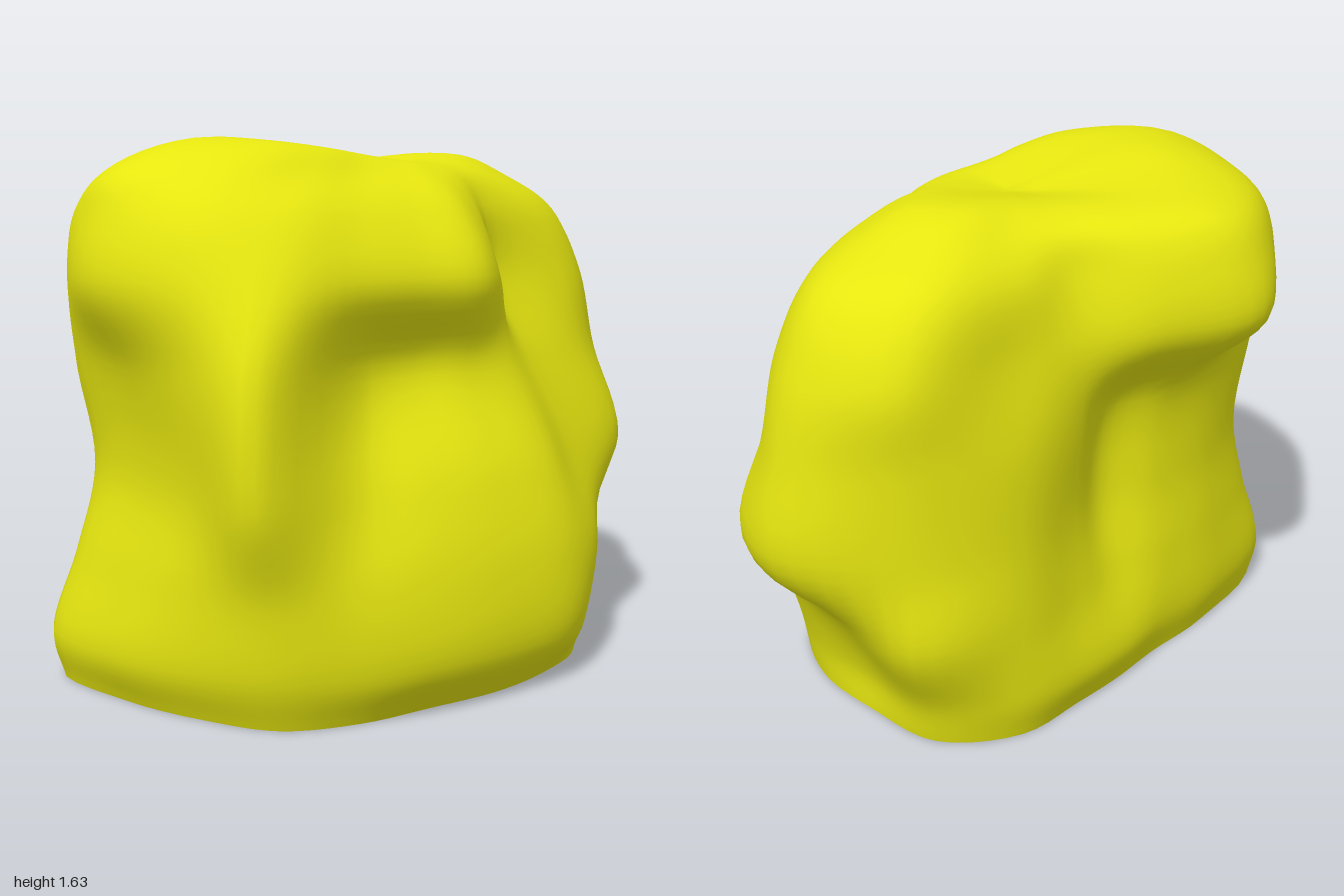
import * as THREE from 'three';

// Directions of the ribs in degrees, from +x round through +z (front)
const ANGLES = [0, 22.5, 45, 67.5, 90, 112.5, 130, 145, 160, 180, 202.5, 225, 247.5, 270, 292.5, 315, 337.5];
// Cross-sections from bottom to top: height, then one radius per rib
const SECTIONS = [
  [0.01, [.65, .67, .68, .63, .62, .65, .75, .84, .85, .89, .97, .66, .50, .47, .50, .62, .69]],
  [0.15, [.66, .69, .71, .73, .71, .75, .82, .90, .91, .95, 1.0, .71, .54, .51, .55, .66, .73]],
  [0.40, [.78, .77, .75, .73, .70, .74, .82, .94, .92, .91, .92, .69, .52, .44, .50, .67, .86]],
  [0.66, [1.0, .90, .66, .65, .62, .65, .73, 1.03, .91, .85, .86, .66, .49, .38, .46, .65, .85]],
  [0.98, [.97, .78, .52, .50, .48, .48, .58, 1.01, .95, .89, .91, .69, .53, .41, .48, .63, .85]],
  [1.22, [.91, .72, .40, .47, .56, .59, .69, .90, .97, 1.0, .92, .82, .79, .60, .50, .57, .86]],
  [1.42, [.80, .61, .38, .39, .45, .48, .57, .74, .89, .96, .90, .81, .75, .57, .45, .53, .76]],
  [1.53, [.60, .45, .32, .30, .31, .33, .39, .54, .75, .90, .81, .74, .67, .49, .40, .43, .59]],
];
const CROWN = new THREE.Vector3(0, 1.55, 0);
const AROUND = 85, UP = 60;

// One smooth rib per direction, running from the base over the rim to the crown
function makeRib(degrees, k) {
  const angle = THREE.MathUtils.degToRad(degrees);
  const at = (r, y) => new THREE.Vector3(r * Math.cos(angle), y, r * Math.sin(angle));
  const points = SECTIONS.map(([y, radii]) => at(radii[k], y));
  const rim = SECTIONS[SECTIONS.length - 1][1][k];
  // Two low swellings on top with a saddle between them
  const shoulder = at(rim * 0.65, 1.56);
  shoulder.y += 0.085 * Math.exp(-((shoulder.x + 0.48) ** 2 + (shoulder.z + 0.05) ** 2) / 0.15);
  shoulder.y += 0.045 * Math.exp(-((shoulder.x - 0.35) ** 2 + (shoulder.z + 0.08) ** 2) / 0.06);
  points.push(shoulder, CROWN);
  return new THREE.CatmullRomCurve3(points);
}

export function createModel() {
  const group = new THREE.Group();
  group.name = 'boulder';
  const material = new THREE.MeshStandardMaterial({ color: 0xe6e610 });

  // Closed smooth rings threaded through the ribs
  const ribs = ANGLES.map(makeRib);
  const positions = [], index = [], baseOutline = [];
  for (let i = 0; i <= UP; i++) {
    const ring = new THREE.CatmullRomCurve3(ribs.map((rib) => rib.getPoint(i / UP)), true);
    for (let j = 0; j < AROUND; j++) {
      const p = i < UP ? ring.getPoint(j / AROUND) : CROWN;
      positions.push(p.x, p.y, p.z);
      if (i === 0) baseOutline.push(new THREE.Vector2(p.x, p.z));
    }
  }
  for (let i = 0; i < UP; i++) {
    for (let j = 0; j < AROUND; j++) {
      const a = i * AROUND + j, b = i * AROUND + ((j + 1) % AROUND);
      index.push(a, a + AROUND, b);
      if (i < UP - 1) index.push(b, a + AROUND, b + AROUND);
    }
  }
  const geometry = new THREE.BufferGeometry();
  geometry.setAttribute('position', new THREE.Float32BufferAttribute(positions, 3));
  geometry.setIndex(index);
  geometry.computeVertexNormals();
  // The crown's coincident vertices share one normal
  for (let j = 0; j < AROUND; j++) geometry.attributes.normal.setXYZ(UP * AROUND + j, 0, 1, 0);
  const body = new THREE.Mesh(geometry, material);
  body.name = 'rockBody';
  group.add(body);

  // Flat underside
  const baseGeometry = new THREE.ShapeGeometry(new THREE.Shape(baseOutline));
  baseGeometry.rotateX(Math.PI / 2);
  const base = new THREE.Mesh(baseGeometry, material);
  base.name = 'flatBase';
  base.position.y = 0.01;
  group.add(base);

  return group;
}
